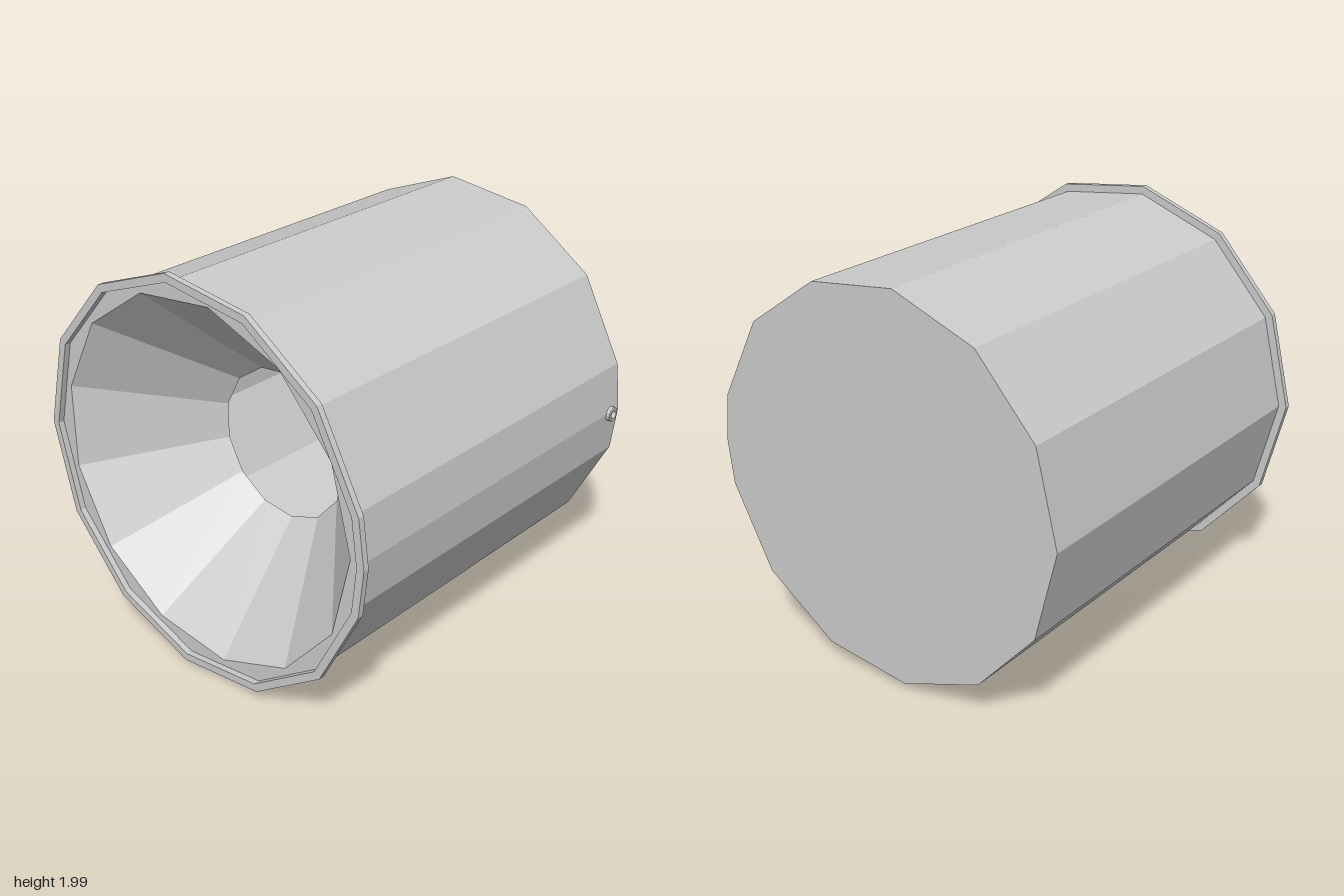
import * as THREE from 'three';

const SIDES = 13;
const FRONT = 0.977, SEAT = 0.947, FLOOR = -0.92, BACK = -0.977;

// Regular 13-sided outline; the outer one starts at -x and has a seam corner at +x
function outline(radius, outer) {
  const angles = [];
  for (let i = 0; i < SIDES; i++) angles.push((i / SIDES) * Math.PI * 2 + (outer ? -Math.PI : 0));
  if (outer) angles.splice(7, 0, 0);
  return angles.map((a) => new THREE.Vector2(Math.cos(a) * radius, Math.sin(a) * radius));
}

// Straight prism between two depths, with an optional hole
function prism(points, hole, z0, z1) {
  const shape = new THREE.Shape(points);
  if (hole) shape.holes.push(new THREE.Path(hole));
  return new THREE.ExtrudeGeometry(shape, { depth: z1 - z0, bevelEnabled: false }).translate(0, 0, z0);
}

export function createModel() {
  const group = new THREE.Group();
  const flat = new THREE.MeshStandardMaterial({ color: 0xcccccc, flatShading: true });
  const thin = new THREE.MeshStandardMaterial({ color: 0xcccccc, flatShading: true, side: THREE.DoubleSide });

  const add = (name, geometry, material = flat) => {
    const mesh = new THREE.Mesh(geometry, material);
    mesh.name = name;
    group.add(mesh);
    return mesh;
  };

  // Hollow housing with a closed back
  add('housing', prism(outline(0.96, true), outline(0.9, false), FLOOR, SEAT));
  add('backPlate', prism(outline(0.96, true), null, BACK, FLOOR));

  // Raised rim around the front
  add('frontRim', prism(outline(1, true), outline(0.96, true), SEAT, FRONT));

  // Funnel-shaped reflector narrowing to an opening
  const depth = 0.54;
  const funnel = new THREE.CylinderGeometry(0.9, 0.38, depth, SIDES, 1, true, Math.PI / 2);
  funnel.rotateX(Math.PI / 2).translate(0, 0, SEAT - depth / 2);
  add('reflector', funnel, thin);

  // Small cable grommet on the left side near the back
  const profile = [[0.021, 0], [0.037, 0], [0.037, 0.036], [0.032, 0.04], [0.021, 0.04], [0.021, 0]]
    .map(([r, h]) => new THREE.Vector2(r, h));
  const grommet = add('cableGrommet', new THREE.LatheGeometry(profile, 13), thin);
  grommet.rotation.z = -Math.PI / 2;
  grommet.position.set(0.94, -0.008, -0.905);

  group.position.y = 0.993;
  const root = new THREE.Group();
  root.add(group);
  group.name = 'recessedLamp';
  return root;
}
